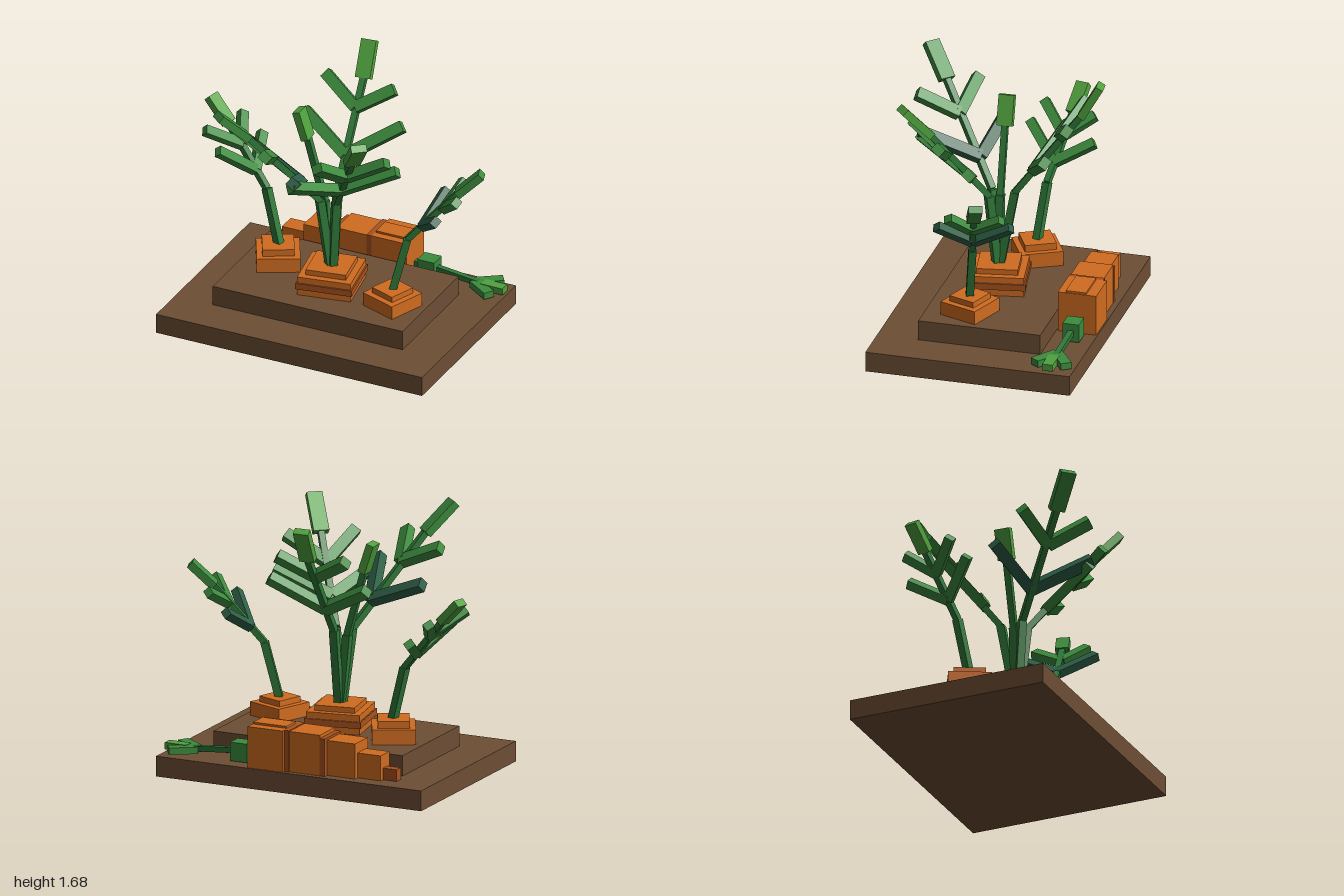
import * as THREE from 'three';

const colour = (name, hex) => {
  const m = new THREE.MeshStandardMaterial({ color: hex });
  m.name = name;
  return m;
};
const V = (p) => new THREE.Vector3(...p);

export function createModel() {
  const soil = colour('soil brown', 0x6d4e34);
  const orange = colour('carrot orange', 0xd06c20);
  const deep = colour('deep orange', 0xa8521f);
  const stemGreen = colour('stem green', 0x317a3a);
  const leafGreen = colour('leaf green', 0x3d8c3e);
  const lightGreen = colour('light green', 0x50a23e);
  const blueGreen = colour('blue green', 0x2e5f47);

  const model = new THREE.Group();
  model.name = 'carrotPatch';
  const group = (name) => {
    const g = new THREE.Group();
    g.name = name;
    model.add(g);
    return g;
  };

  // Box given by its limits on each axis
  function block(parent, name, mat, [x0, x1], [y0, y1], [z0, z1]) {
    const m = new THREE.Mesh(new THREE.BoxGeometry(x1 - x0, y1 - y0, z1 - z0), mat);
    m.position.set((x0 + x1) / 2, (y0 + y1) / 2, (z0 + z1) / 2);
    m.name = name;
    parent.add(m);
  }

  // Box running from a to b; thickness t lies along the normal, width w across it
  function bar(parent, name, mat, a, b, w, t, normal) {
    const A = V(a), B = V(b), y = B.clone().sub(A), len = y.length();
    y.normalize();
    const x = new THREE.Vector3().crossVectors(y, normal).normalize();
    const z = new THREE.Vector3().crossVectors(x, y);
    const m = new THREE.Mesh(new THREE.BoxGeometry(w, len, t), mat);
    m.quaternion.setFromRotationMatrix(new THREE.Matrix4().makeBasis(x, y, z));
    m.position.copy(A.add(B).multiplyScalar(0.5));
    m.name = name;
    parent.add(m);
  }

  // Stepped soil bed
  const bed = group('soilBed');
  block(bed, 'lowerSoil', soil, [-0.92, 0.915], [0, 0.13], [-0.675, 0.64]);
  block(bed, 'upperSoil', soil, [-0.66, 0.65], [0.13, 0.26], [-0.41, 0.375]);

  // Planted carrots: stacked square tiers [side, bottom, top, material]
  function carrot(name, x, z, degrees, tiers) {
    const g = group(name);
    g.position.set(x, 0, z);
    g.rotation.y = THREE.MathUtils.degToRad(degrees);
    for (const [s, y0, y1, mat] of tiers)
      block(g, 'carrotTier', mat, [-s / 2, s / 2], [y0, y1], [-s / 2, s / 2]);
  }
  carrot('middleCarrot', -0.005, 0.04, 10, [
    [0.345, 0.26, 0.385, orange], [0.363, 0.302, 0.343, deep], [0.26, 0.385, 0.42, orange],
  ]);
  carrot('rightCarrot', -0.435, -0.085, 27.6, [[0.272, 0.26, 0.355, orange], [0.2, 0.355, 0.4, orange]]);
  carrot('leftCarrot', 0.445, 0.1, -20, [[0.26, 0.26, 0.348, orange], [0.18, 0.348, 0.385, orange]]);

  // Frond: bent stem, pairs of leaf arms and a flat tip
  function frond(name, { path, pairs, tip, tipMat, w, tipW, stemW }) {
    const g = group(name);
    const dir = V(tip[1]).sub(V(path[1]));
    const side = new THREE.Vector3().crossVectors(dir, V([0, 1, 0]));
    const normal = new THREE.Vector3().crossVectors(side, dir).normalize();
    bar(g, 'lowerStem', stemGreen, path[0], path[1], stemW, stemW, normal);
    bar(g, 'upperStem', stemGreen, path[1], tip[0], stemW * 0.8, stemW * 0.8, normal);
    for (const [mat, base, ...ends] of pairs)
      for (const end of ends) bar(g, 'leafArm', mat, base, end, w, w * 0.85, normal);
    bar(g, 'leafTip', tipMat, tip[0], tip[1], tipW, 0.05, normal);
  }
  const big = { w: 0.072, tipW: 0.1, stemW: 0.05 };
  const small = { w: 0.06, tipW: 0.085, stemW: 0.048 };

  frond('backFrond', {
    ...big, path: [[0, 0.4, 0.03], [-0.01, 0.9, -0.06]],
    pairs: [
      [leafGreen, [-0.015, 1.07, -0.18], [-0.355, 1.25, -0.3], [0.3, 1.27, -0.34]],
      [leafGreen, [-0.03, 1.32, -0.35], [-0.28, 1.46, -0.44], [0.19, 1.45, -0.45]],
    ],
    tip: [[-0.04, 1.46, -0.48], [-0.055, 1.67, -0.6]], tipMat: lightGreen,
  });
  frond('frontRightFrond', {
    ...big, path: [[-0.01, 0.4, 0.05], [-0.055, 0.88, 0.1]],
    pairs: [
      [blueGreen, [-0.14, 1.05, 0.2], [-0.53, 1.21, 0.13], [-0.015, 1.23, 0.56]],
      [leafGreen, [-0.26, 1.27, 0.37], [-0.555, 1.4, 0.33], [-0.18, 1.41, 0.62]],
    ],
    tip: [[-0.37, 1.44, 0.48], [-0.5, 1.62, 0.62]], tipMat: leafGreen,
  });
  frond('frontLeftFrond', {
    ...big, path: [[0.01, 0.4, 0.05], [0.05, 0.88, 0.09]],
    pairs: [
      [leafGreen, [0.13, 1.04, 0.19], [0.48, 1.21, 0.1], [-0.03, 1.2, 0.56]],
      [leafGreen, [0.23, 1.22, 0.32], [0.5, 1.37, 0.29], [0.15, 1.38, 0.56]],
    ],
    tip: [[0.31, 1.38, 0.4], [0.43, 1.58, 0.54]], tipMat: lightGreen,
  });
  frond('shortFrond', {
    ...big, path: [[-0.01, 0.4, 0.04], [-0.05, 0.85, 0.045]], pairs: [],
    tip: [[-0.165, 1.27, 0.048], [-0.225, 1.455, 0.05]], tipMat: lightGreen,
  });
  frond('rightPlant', {
    ...small, path: [[-0.43, 0.39, -0.085], [-0.53, 0.74, -0.12]],
    pairs: [
      [leafGreen, [-0.62, 0.84, -0.14], [-0.69, 0.97, -0.38], [-0.78, 1.03, 0.06]],
      [leafGreen, [-0.73, 0.98, -0.17], [-0.81, 1.1, -0.35], [-0.9, 1.12, 0]],
    ],
    tip: [[-0.83, 1.09, -0.2], [-0.97, 1.235, -0.23]], tipMat: lightGreen,
  });
  frond('leftPlant', {
    ...small, path: [[0.45, 0.38, 0.1], [0.53, 0.73, 0.06]],
    pairs: [
      [blueGreen, [0.62, 0.83, 0.03], [0.655, 0.97, -0.225], [0.8, 0.99, 0.215]],
      [leafGreen, [0.75, 0.97, 0], [0.79, 1.08, -0.2], [0.895, 1.1, 0.115]],
    ],
    tip: [[0.83, 1.08, -0.03], [0.97, 1.22, -0.085]], tipMat: leafGreen,
  });

  // Pulled carrot lying behind the bed
  const lying = group('lyingCarrot');
  for (const [mat, x0, x1, top, z0, z1] of [
    [deep, -0.685, -0.59, 0.205, -0.545, -0.485],
    [orange, -0.59, -0.43, 0.29, -0.575, -0.455],
    [orange, -0.43, -0.235, 0.355, -0.608, -0.432],
    [deep, -0.235, -0.2, 0.37, -0.64, -0.42],
    [orange, -0.2, 0.01, 0.39, -0.638, -0.425],
    [deep, 0.01, 0.045, 0.395, -0.645, -0.42],
    [orange, 0.045, 0.285, 0.395, -0.667, -0.42],
  ]) block(lying, 'carrotSegment', mat, [x0, x1], [0.13, top], [z0, z1]);
  block(lying, 'carrotRidge', orange, [0.05, 0.28], [0.395, 0.408], [-0.6, -0.47]);

  // Its fallen leaves
  const up = V([0, 1, 0]);
  block(lying, 'leafCrown', leafGreen, [0.325, 0.44], [0.14, 0.26], [-0.6, -0.495]);
  bar(lying, 'leafStem', stemGreen, [0.28, 0.2, -0.55], [0.44, 0.2, -0.548], 0.04, 0.04, up);
  bar(lying, 'leafStem', stemGreen, [0.43, 0.2, -0.548], [0.8, 0.165, -0.535], 0.035, 0.035, up);
  for (const z of [-0.635, -0.43])
    bar(lying, 'leafArm', leafGreen, [0.7, 0.167, -0.533], [0.85, 0.167, z], 0.07, 0.044, up);
  bar(lying, 'leafTip', lightGreen, [0.76, 0.17, -0.532], [0.91, 0.17, -0.53], 0.068, 0.044, up);

  return model;
}
